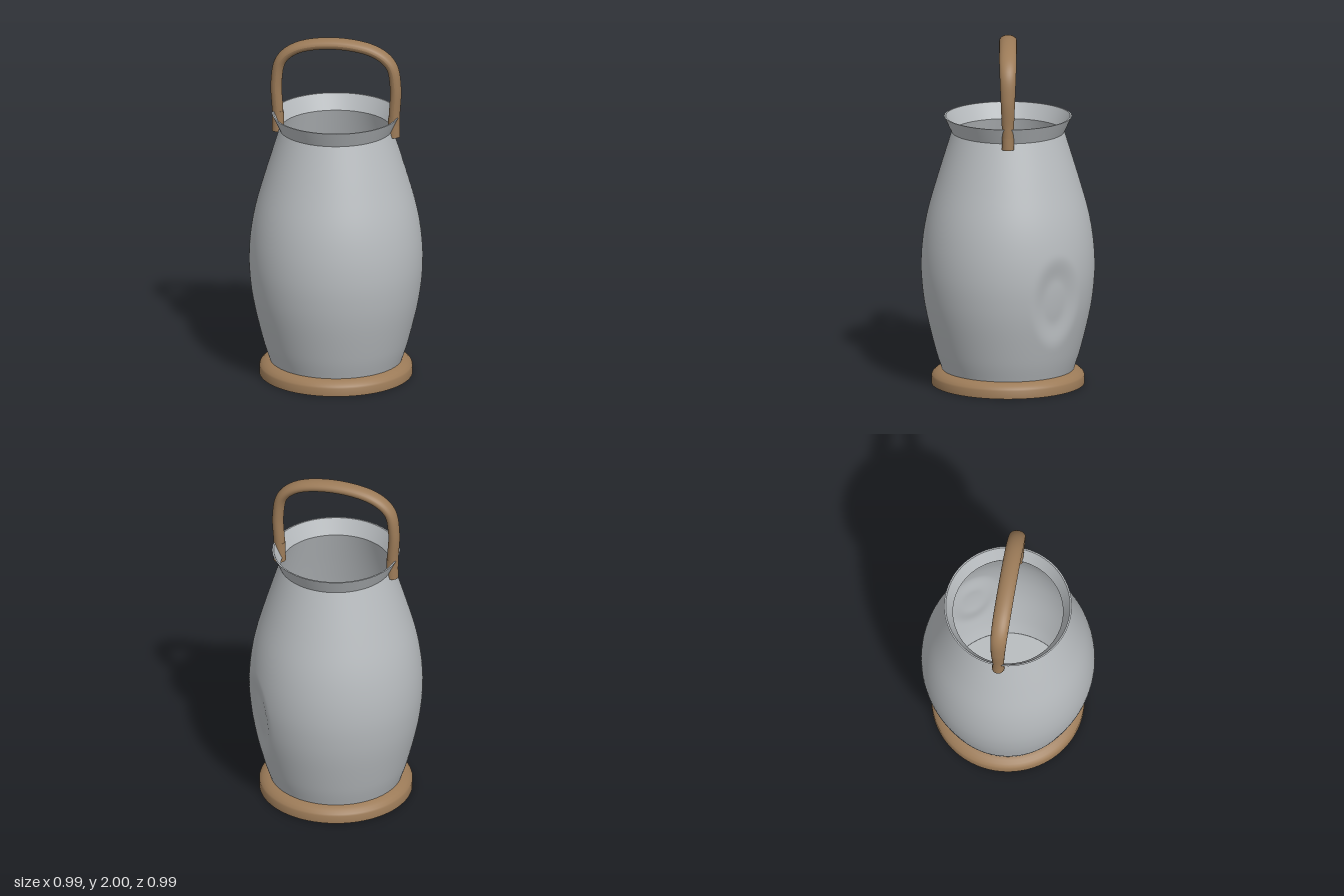
import * as THREE from 'three';
import { toCreasedNormals } from 'three/addons/utils/BufferGeometryUtils.js';

const v2 = (p) => new THREE.Vector2(p[0], p[1]);

export function createModel() {
  const metal = new THREE.MeshStandardMaterial({ color: 0xb8bcbf });
  metal.name = 'grey metal';
  const wood = new THREE.MeshStandardMaterial({ color: 0x9c7b58 });
  wood.name = 'brown wood';

  const group = new THREE.Group();
  const add = (name, geometry, material) => {
    const mesh = new THREE.Mesh(geometry, material);
    mesh.name = name;
    group.add(mesh);
    return mesh;
  };

  // Wooden base disc with a rounded upper edge
  const baseProfile = [[0, 0], [0.435, 0], [0.435, 0.045], [0.43, 0.055], [0.415, 0.069],
    [0.395, 0.08], [0.37, 0.088], [0.34, 0.09], [0, 0.09]].map(v2);
  add('base', toCreasedNormals(new THREE.LatheGeometry(baseProfile, 96), 0.6), wood);

  // Thin-walled body: outer wall up, flared rim, inner wall down, floor
  const wall = 0.008;
  const outer = new THREE.SplineCurve([[0.375, 0.085], [0.412, 0.2], [0.461, 0.4], [0.485, 0.55],
    [0.493, 0.69], [0.484, 0.84], [0.456, 1.0], [0.4, 1.2], [0.32, 1.46]].map(v2)).getPoints(64);
  const inner = outer.map((p) => v2([p.x - wall, p.y])).reverse();
  inner[inner.length - 1].y = 0.1;
  const profile = [...outer, v2([0.362, 1.55]), v2([0.353, 1.55]), ...inner, v2([0, 0.1])];
  const body = new THREE.LatheGeometry(profile, 144);

  // Shallow oval dent pushed into the back left of the wall
  const dent = { angle: -0.63, y: 0.55, halfAngle: 0.36, halfHeight: 0.28, depth: 0.03 };
  const pos = body.attributes.position;
  for (let i = 0; i < pos.count; i++) {
    const x = pos.getX(i), y = pos.getY(i), z = pos.getZ(i);
    const r = Math.hypot(x, z);
    if (r < 0.3) continue;
    const a = (Math.atan2(z, x) - dent.angle) / dent.halfAngle;
    const d = Math.hypot(a, (y - dent.y) / dent.halfHeight);
    if (d >= 1) continue;
    const push = dent.depth * (1 - THREE.MathUtils.smoothstep(d, 0.4, 1));
    const k = (r - push) / r;
    pos.setXYZ(i, x * k, y, z * k);
  }
  add('body', toCreasedNormals(body, 0.5), metal);

  // Bail handle: a bent tube that broadens towards the grip
  const half = [[0.335, 1.5], [0.336, 1.56], [0.343, 1.72], [0.316, 1.855], [0.22, 1.932]];
  const path = new THREE.CatmullRomCurve3([
    ...half.map(([x, y]) => new THREE.Vector3(-x, y, 0)),
    new THREE.Vector3(0, 1.968, 0),
    ...half.map(([x, y]) => new THREE.Vector3(x, y, 0)).reverse(),
  ]);
  const handle = new THREE.TubeGeometry(path, 96, 0.032, 24, false);
  const hp = handle.attributes.position;
  for (let i = 0; i < hp.count; i++) {
    const t = THREE.MathUtils.clamp((hp.getY(i) - 1.5) / 0.43, 0, 1);
    hp.setZ(i, hp.getZ(i) * THREE.MathUtils.lerp(1, 1.56, t));
  }
  handle.computeVertexNormals();
  add('handle', handle, wood);

  // Lugs joining the handle to the rim
  for (const side of [-1, 1]) {
    const lug = add(side > 0 ? 'leftLug' : 'rightLug',
      new THREE.CylinderGeometry(0.032, 0.035, 0.12, 24), wood);
    lug.position.set(side * 0.333, 1.49, 0);
  }

  return group;
}
